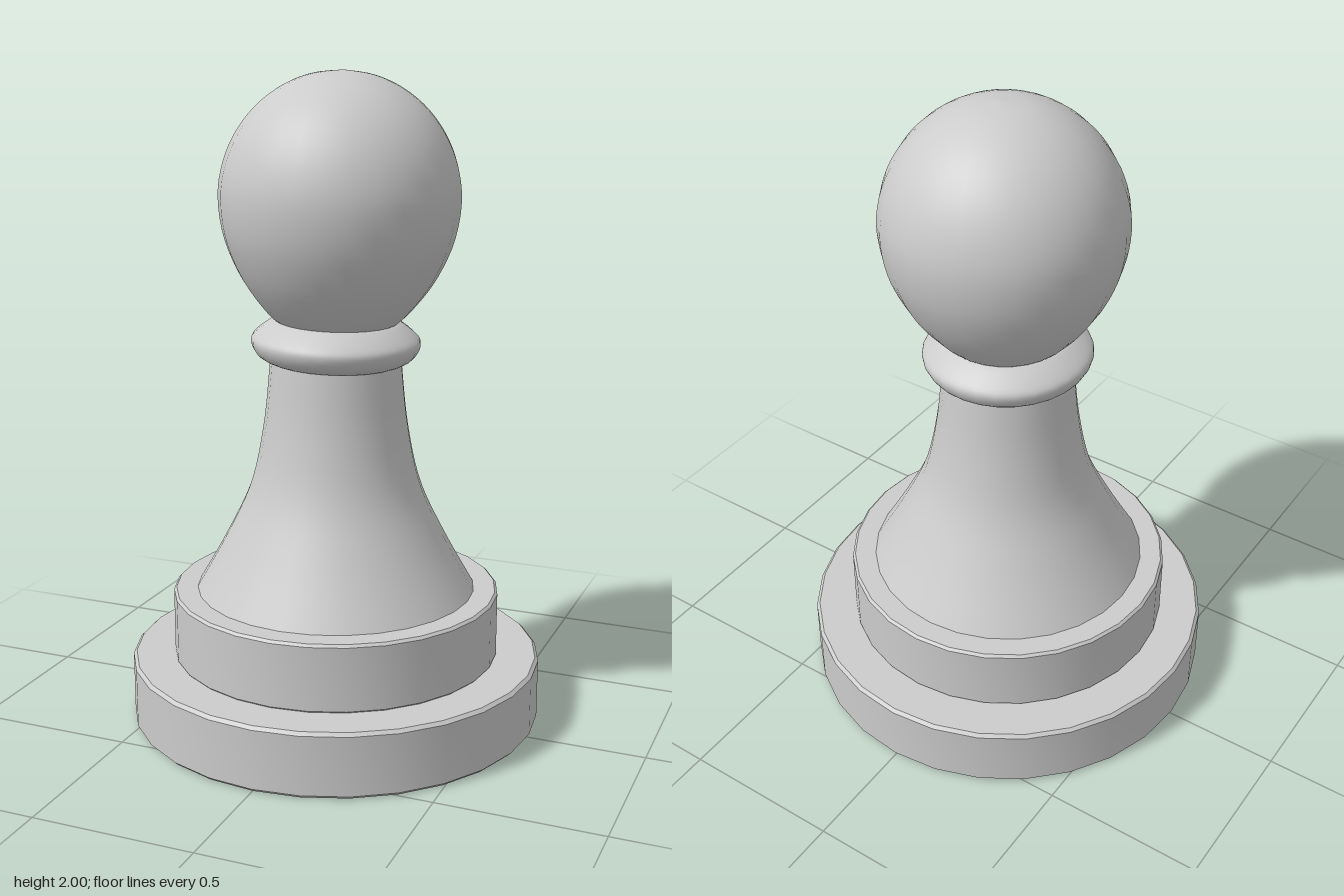
import * as THREE from 'three';
import { toCreasedNormals } from 'three/addons/utils/BufferGeometryUtils.js';

const SIDES = 28;
const material = new THREE.MeshStandardMaterial({ color: 0xcccccc });

const toPoints = (list) => list.map(([r, y]) => new THREE.Vector2(r, y));

// Smooth turned part from a few [radius, height] points
function turned(name, list, steps) {
  const points = new THREE.SplineCurve(toPoints(list)).getPoints(steps);
  const mesh = new THREE.Mesh(new THREE.LatheGeometry(points, SIDES), material);
  mesh.name = name;
  return mesh;
}

// Sharp-edged disc with a narrow chamfer
function disc(name, radius, bottom, top, bevel) {
  const points = toPoints([
    [0, bottom], [radius - bevel, bottom], [radius, bottom + bevel],
    [radius, top - bevel], [radius - bevel, top], [0, top],
  ]);
  const mesh = new THREE.Mesh(toCreasedNormals(new THREE.LatheGeometry(points, SIDES), 0.6), material);
  mesh.name = name;
  return mesh;
}

export function createModel() {
  const model = new THREE.Group();
  model.name = 'pawn';

  // Stepped foot
  model.add(disc('base', 0.64, 0, 0.203, 0.01));
  model.add(disc('plinth', 0.508, 0.2, 0.413, 0.008));

  // Flared stem
  model.add(turned('stem', [
    [0.435, 0.41], [0.34, 0.58], [0.262, 0.75], [0.221, 0.94], [0.2, 1.14], [0.195, 1.18],
  ], 24));

  // Collar and head lean slightly towards +x
  const upper = new THREE.Group();
  upper.name = 'upper';
  upper.position.y = 1.19;
  upper.rotation.z = -0.03;
  model.add(upper);

  upper.add(turned('collar', [
    [0.17, -0.058], [0.205, -0.056], [0.24, -0.036], [0.258, 0], [0.245, 0.028], [0.19, 0.068], [0.15, 0.075],
  ], 24));

  // Egg-shaped head: tapered below, round above
  const profile = [[0.15, 0.05], [0.19, 0.07], [0.245, 0.13], [0.3, 0.212], [0.345, 0.32]];
  for (let i = 0; i <= 6; i++) {
    const a = (i / 6) * Math.PI / 2;
    profile.push([0.362 * Math.cos(a), 0.435 + 0.375 * Math.sin(a)]);
  }
  upper.add(turned('head', profile, 40));

  return model;
}
